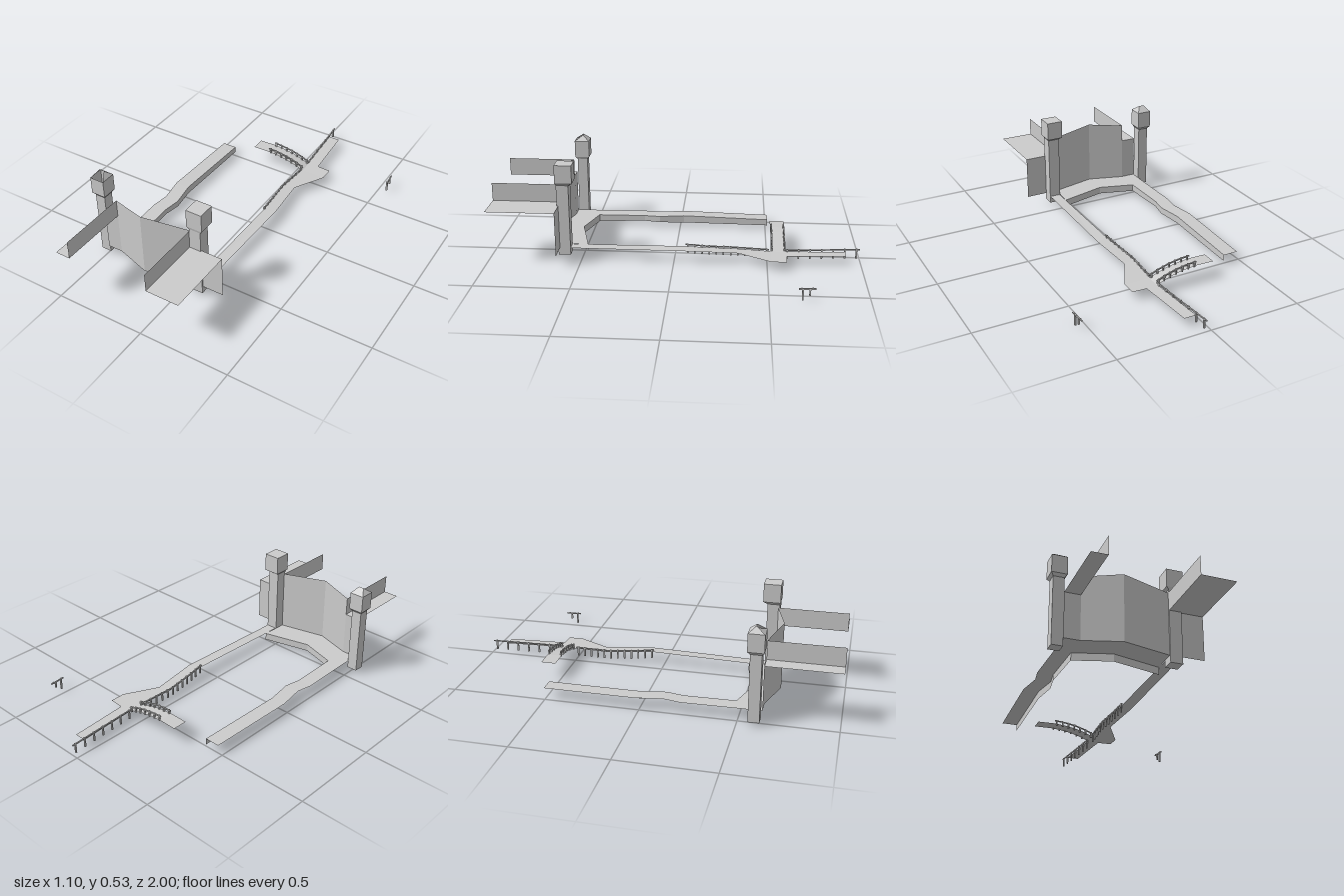
import * as THREE from 'three';

const material = new THREE.MeshStandardMaterial({ color: 0xcccccc, flatShading: true, side: THREE.DoubleSide });

function addMesh(parent, name, geometry) {
  const mesh = new THREE.Mesh(geometry, material);
  mesh.name = name;
  parent.add(mesh);
  return mesh;
}

// Sheet of quads between two polylines of equal length
function addStrip(parent, name, a, b) {
  const pos = [];
  for (let i = 0; i < a.length - 1; i++) {
    pos.push(...a[i], ...b[i], ...b[i + 1], ...a[i], ...b[i + 1], ...a[i + 1]);
  }
  const g = new THREE.BufferGeometry();
  g.setAttribute('position', new THREE.Float32BufferAttribute(pos, 3));
  g.computeVertexNormals();
  return addMesh(parent, name, g);
}

function addBox(parent, name, x0, x1, y0, y1, z0, z1) {
  const g = new THREE.BoxGeometry(x1 - x0, y1 - y0, z1 - z0);
  g.translate((x0 + x1) / 2, (y0 + y1) / 2, (z0 + z1) / 2);
  return addMesh(parent, name, g);
}

const ring = (x0, x1, z0, z1, y) =>
  [[x0, y, z0], [x0, y, z1], [x1, y, z1], [x1, y, z0], [x0, y, z0]];

// Beam between two points
function addRail(parent, p, q, t) {
  const a = new THREE.Vector3(...p), b = new THREE.Vector3(...q);
  const rail = addMesh(parent, 'rail', new THREE.BoxGeometry(t, t, a.distanceTo(b)));
  rail.position.copy(a).add(b).multiplyScalar(0.5);
  rail.lookAt(b);
}

// Rail along the points with evenly spaced posts hanging below it
function addFence(parent, name, pts, count, drop) {
  const fence = new THREE.Group();
  fence.name = name;
  parent.add(fence);
  for (let i = 0; i < pts.length - 1; i++) addRail(fence, pts[i], pts[i + 1], 0.006);
  const path = new THREE.CurvePath();
  for (let i = 0; i < pts.length - 1; i++) {
    path.add(new THREE.LineCurve3(new THREE.Vector3(...pts[i]), new THREE.Vector3(...pts[i + 1])));
  }
  for (let i = 0; i < count; i++) {
    const p = path.getPoint((i + 0.3) / (count - 0.4));
    const h = Math.min(drop, p.y);
    addBox(fence, 'post', p.x - 0.004, p.x + 0.004, p.y - h, p.y + 0.005, p.z - 0.004, p.z + 0.004);
  }
}

export function createModel() {
  const model = new THREE.Group();
  model.name = 'castleFront';

  // Bent middle wall with lower wings on both sides
  const bend = [[-0.4, 0.62], [-0.205, 0.68], [0.05, 0.62]];
  const tops = [0.4, 0.42, 0.4];
  addStrip(model, 'mainWall', bend.map(([x, z], i) => [x, tops[i], z]), bend.map(([x, z]) => [x, 0.06, z]));
  for (const [side, xi, xo, zf] of [['left', 0.05, 0.233, 0.99], ['right', -0.4, -0.483, 1]]) {
    addStrip(model, side + 'WingWall', [[xi, 0.3, 0.62], [xo, 0.3, 0.62]], [[xi, 0.06, 0.62], [xo, 0.06, 0.62]]);
    addStrip(model, side + 'Ledge', [[xi, 0.3, 0.62], [xo, 0.3, 0.62]], [[xi, 0.3, zf], [xo, 0.3, zf]]);
    addStrip(model, side + 'Parapet', [[xi, 0.4, 0.62], [xi, 0.4, zf]], [[xi, 0.3, 0.62], [xi, 0.3, zf]]);
  }

  // Left tower with a flat-topped head
  const left = new THREE.Group();
  left.name = 'leftTower';
  model.add(left);
  addBox(left, 'shaft', 0.05, 0.115, 0.02, 0.418, 0.562, 0.628);
  addStrip(left, 'flare', ring(0.05, 0.115, 0.562, 0.628, 0.416), ring(0.038, 0.127, 0.54, 0.632, 0.43));
  addBox(left, 'head', 0.038, 0.127, 0.43, 0.53, 0.54, 0.632);

  // Right tower with an open head and a hood roof open to the front
  const right = new THREE.Group();
  right.name = 'rightTower';
  model.add(right);
  addBox(right, 'shaft', -0.538, -0.481, 0.02, 0.382, 0.556, 0.614);
  addStrip(right, 'flare', ring(-0.538, -0.481, 0.556, 0.614, 0.38), ring(-0.55, -0.47, 0.543, 0.626, 0.395));
  addStrip(right, 'head', ring(-0.55, -0.47, 0.543, 0.626, 0.395), ring(-0.55, -0.47, 0.543, 0.626, 0.49));
  const eaves = [[-0.55, 0.49, 0.626], [-0.55, 0.49, 0.543], [-0.47, 0.49, 0.543], [-0.47, 0.49, 0.626]];
  const l = [-0.524, 0.522, 0.58], r = [-0.496, 0.522, 0.58];
  addStrip(right, 'roof', eaves, [l, l, r, r]);

  // Walkway behind the wall, with a skirt on its inner edge
  const innerBend = [[-0.4, 0.48], [-0.205, 0.54], [0.055, 0.475]];
  addStrip(model, 'bentWalkway', innerBend.map(([x, z]) => [x, 0.06, z]), bend.map(([x, z]) => [x, 0.06, z]));
  addStrip(model, 'bentWalkwaySkirt', innerBend.map(([x, z]) => [x, 0.06, z]), innerBend.map(([x, z]) => [x, 0.02, z]));

  // Right bank path: inner x, z, top y, skirt bottom y
  const bank = [[-0.4, 0.62, 0.06, 0.02], [-0.4, 0.48, 0.06, 0.02], [-0.405, 0.21, 0.06, 0.028],
    [-0.39, 0.12, 0.062, 0.026], [-0.413, -0.02, 0.062, 0.02], [-0.4, -0.51, 0.055, 0.02]];
  const inner = bank.map(([x, z, y]) => [x, y, z]);
  addStrip(model, 'rightPath', inner, bank.map(([x, z, y]) => [x - 0.082, y, z]));
  addStrip(model, 'rightPathSkirt', inner.slice(1), bank.slice(1).map(([x, z, , y]) => [x, y, z]));

  // Left path, widening beside the bridge
  addStrip(model, 'leftPath',
    [[0.055, 0.06, 0.62], [0.055, 0.06, 0.475], [0.065, 0.068, -0.06], [0.04, 0.052, -0.32],
      [0.055, 0.048, -0.52], [0.055, 0.048, -0.6], [0.055, 0.048, -0.605], [0.035, 0.048, -0.92]],
    [[0.115, 0.06, 0.62], [0.115, 0.06, 0.5], [0.13, 0.066, -0.09], [0.105, 0.052, -0.345],
      [0.2, 0.048, -0.52], [0.2, 0.048, -0.6], [0.122, 0.048, -0.605], [0.1, 0.048, -0.92]]);

  // Curved bridge deck with a railing on each side
  const deck = [[0.06, 0.048], [0.01, 0.068], [-0.05, 0.085], [-0.11, 0.095], [-0.17, 0.1], [-0.27, 0.098]];
  addStrip(model, 'bridgeDeck', deck.map(([x, y]) => [x, y, -0.6]), deck.map(([x, y]) => [x, y, -0.52]));
  for (const z of [-0.594, -0.526]) {
    addFence(model, 'bridgeRailing', deck.slice(0, 5).map(([x, y]) => [x, y + 0.02, z]), 7, 0.028);
  }

  // Fences along the left path
  addFence(model, 'nearFence', [[0.067, 0.08, -0.06], [0.055, 0.068, -0.17], [0.041, 0.06, -0.32], [0.053, 0.056, -0.51]], 12, 0.047);
  addFence(model, 'farFence', [[0.055, 0.056, -0.59], [0.042, 0.058, -0.8], [0.028, 0.06, -1]], 7, 0.05);

  // Lone piece of fence away from the path
  addFence(model, 'loneFence', [[0.546, 0.06, -0.645], [0.539, 0.06, -0.73]], 2, 0);
  for (const z of [-0.665, -0.7]) addBox(model, 'lonePost', 0.538, 0.547, z < -0.68 ? 0.025 : 0, 0.062, z - 0.004, z + 0.004);

  return model;
}
